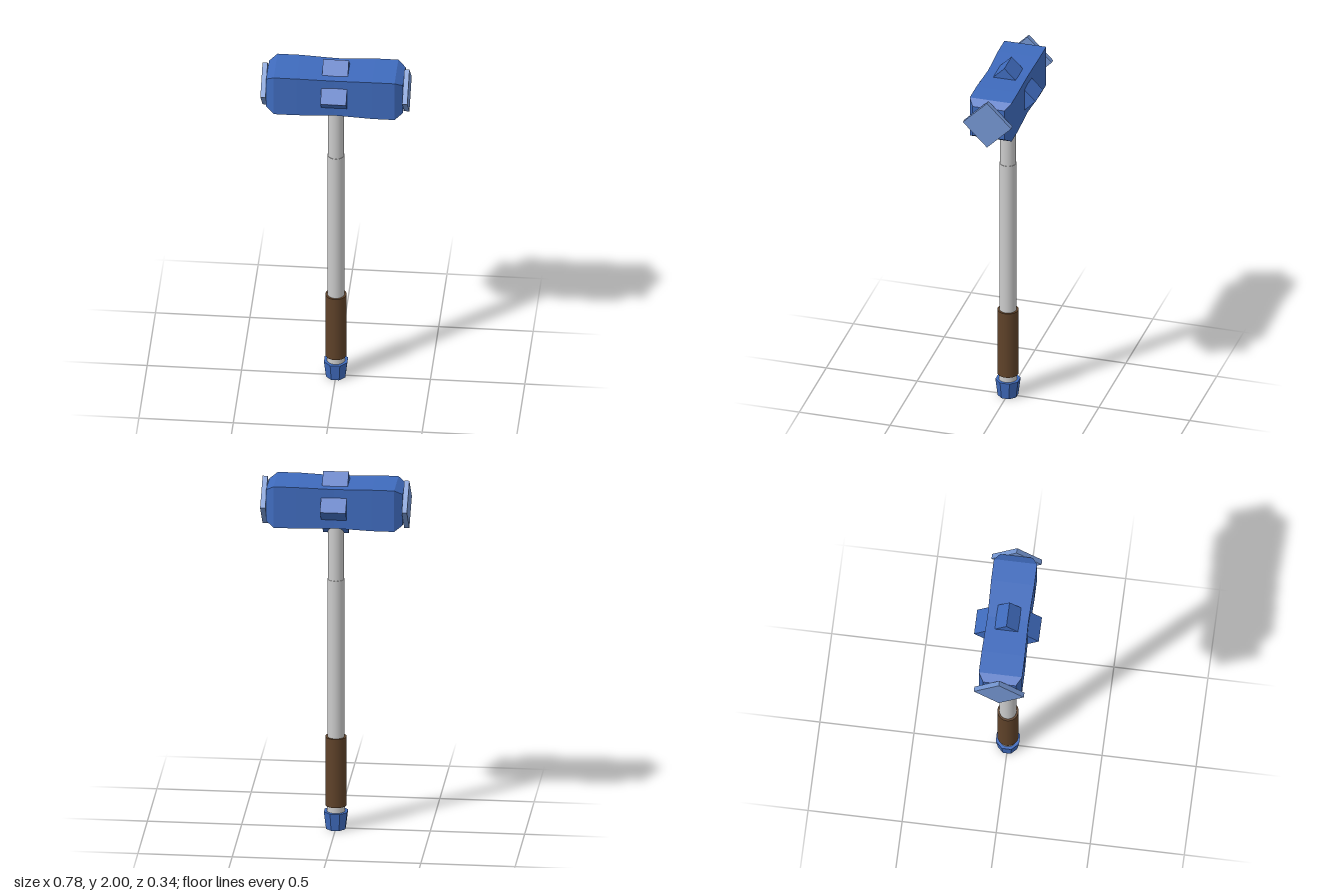
import * as THREE from 'three';

const HEAD_Y = 1.83;

const material = (color, flatShading = false) =>
  new THREE.MeshStandardMaterial({ color, flatShading });

// Square-section bar along x, from [x, half width] stations
function squareBar(stations) {
  const pos = [], index = [];
  for (const [x, h] of stations) pos.push(x, -h, -h, x, -h, h, x, h, h, x, h, -h);
  const last = (stations.length - 1) * 4;
  for (let i = 0; i < last; i += 4) {
    for (let k = 0; k < 4; k++) {
      const a = i + k, b = i + (k + 1) % 4;
      index.push(a, b, b + 4, a, b + 4, a + 4);
    }
  }
  index.push(0, 2, 1, 0, 3, 2, last, last + 1, last + 2, last, last + 2, last + 3);
  const geometry = new THREE.BufferGeometry();
  geometry.setAttribute('position', new THREE.Float32BufferAttribute(pos, 3));
  geometry.setIndex(index);
  // Reverse the winding so every face points outward
  for (let i = 0; i < index.length; i += 3) {
    const p = index.slice(i, i + 3).map(j => new THREE.Vector3(...pos.slice(j * 3, j * 3 + 3)));
    const n = p[1].clone().sub(p[0]).cross(p[2].clone().sub(p[0]));
    const out = p[0].clone().add(p[1]).add(p[2]);
    if (n.dot(out) < 0) [index[i + 1], index[i + 2]] = [index[i + 2], index[i + 1]];
  }
  geometry.setIndex(index);
  const flat = geometry.toNonIndexed();
  flat.computeVertexNormals();
  return flat;
}

export function createModel() {
  const model = new THREE.Group();
  model.name = 'hammer';
  const blue = material(0x3f6bbd, true);
  const paleBlue = material(0x7394cf, true);
  const grey = material(0xcccccc);
  const brown = material(0x5f4229);

  const add = (name, geometry, mat, x, y) => {
    const mesh = new THREE.Mesh(geometry, mat);
    mesh.name = name;
    mesh.position.set(x, y, 0);
    model.add(mesh);
    return mesh;
  };
  const rod = (name, rTop, rBottom, y0, y1, mat, sides = 32) =>
    add(name, new THREE.CylinderGeometry(rTop, rBottom, y1 - y0, sides), mat, 0, (y0 + y1) / 2);

  // Head block: slightly waisted with chamfered ends
  const half = [[0, 0.109], [0.07, 0.111], [0.2, 0.115], [0.32, 0.115], [0.362, 0.087]];
  const stations = [...half.slice(1).reverse().map(([x, h]) => [-x, h]), ...half];
  add('headBlock', squareBar(stations), blue, 0, HEAD_Y);

  // Diamond band around the middle and diamond striking plates
  const diamond = (name, width, halfDiagonal, mat, x) => {
    const side = halfDiagonal * Math.SQRT2;
    add(name, new THREE.BoxGeometry(width, side, side), mat, x, HEAD_Y).rotation.x = Math.PI / 4;
  };
  diamond('centreBand', 0.136, 0.172, blue, 0);
  for (const s of [-1, 1]) {
    diamond(s > 0 ? 'leftStrikingPlate' : 'rightStrikingPlate', 0.027, 0.133, paleBlue, s * 0.3755);
  }

  // Handle
  rod('upperShaft', 0.043, 0.043, 1.4, 1.76, grey);
  rod('shaft', 0.045, 0.045, 0.4, 1.4, grey);
  rod('grip', 0.056, 0.056, 0.13, 0.515, brown);
  rod('collar', 0.048, 0.048, 0.08, 0.14, grey);
  rod('pommel', 0.067, 0.055, 0, 0.097, blue, 8).rotation.y = Math.PI / 8;

  return model;
}
